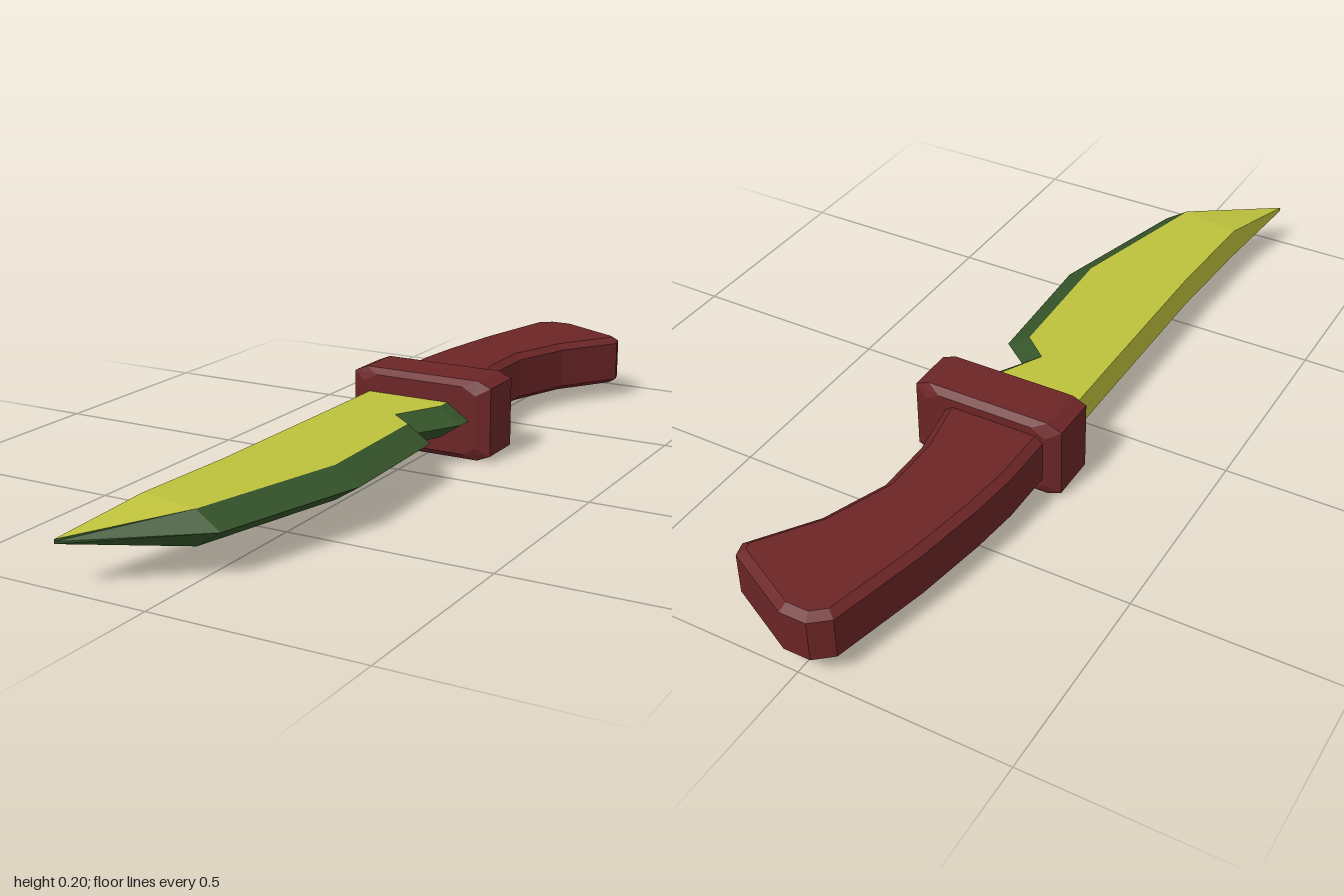
import * as THREE from 'three';

const red = new THREE.MeshStandardMaterial({ color: 0x6b2526 });
red.name = 'dark red grip';
const yellow = new THREE.MeshStandardMaterial({ color: 0xbec23b });
yellow.name = 'yellow blade';
const green = new THREE.MeshStandardMaterial({ color: 0x35552a });
green.name = 'green edge';

// Joins rings of points (clockwise seen from +z, listed by rising z); faces picks the sides to build
function loft(rings, faces, capped) {
  const pos = [];
  const tri = (...pts) => pts.forEach((p) => pos.push(...p));
  for (let i = 0; i < rings.length - 1; i++) {
    const a = rings[i], b = rings[i + 1], n = a.length;
    for (const k of faces) {
      const m = (k + 1) % n;
      tri(a[k], b[k], b[m]);
      tri(a[k], b[m], a[m]);
    }
  }
  if (capped) {
    const a = rings[0], b = rings[rings.length - 1];
    for (let k = 1; k < a.length - 1; k++) {
      tri(a[0], a[k], a[k + 1]);
      tri(b[0], b[k + 1], b[k]);
    }
  }
  const g = new THREE.BufferGeometry();
  g.setAttribute('position', new THREE.Float32BufferAttribute(pos, 3));
  g.computeVertexNormals();
  return g;
}

function addMesh(parent, name, geometry, material) {
  const mesh = new THREE.Mesh(geometry, material);
  mesh.name = name;
  parent.add(mesh);
}

export function createModel() {
  const model = new THREE.Group();
  model.name = 'knife';
  const midY = 0.103;

  // Blade stations: spine x, z; flat border x, z; cutting edge x; half thickness
  const stations = [
    [-0.16, -0.2, 0.06, -0.2, 0.12, 0.04],
    [-0.16, -0.1, 0.06, -0.1, 0.12, 0.04],
    [-0.16, 0.015, 0, 0.015, 0.055, 0.04],
    [-0.16, 0.07, 0.065, 0.07, 0.125, 0.04],
    [-0.162, 0.5, 0.077, 0.42, 0.14, 0.04],
    [-0.175, 0.77, -0.02, 0.8, 0.04, 0.04],
    [-0.217, 1, -0.217, 1, -0.217, 0.005],
  ];
  const rings = stations.map(([sx, sz, ix, iz, ox, h]) => [
    [sx, midY + h, sz], [ix, midY + h, iz], [ox, midY, iz],
    [ix, midY - h, iz], [sx, midY - h, sz],
  ]);
  const blade = new THREE.Group();
  blade.name = 'blade';
  addMesh(blade, 'bladeFlatsAndSpine', loft(rings, [0, 3, 4]), yellow);
  addMesh(blade, 'cuttingEdge', loft(rings, [1, 2]), green);
  model.add(blade);

  // Guard: chamfered block from four octagonal rings
  const octagon = (x0, x1, y0, y1, cx, cy, z) => [
    [x0, y1 - cy, z], [x0 + cx, y1, z], [x1 - cx, y1, z], [x1, y1 - cy, z],
    [x1, y0 + cy, z], [x1 - cx, y0, z], [x0 + cx, y0, z], [x0, y0 + cy, z],
  ];
  const inner = (z) => octagon(-0.175, 0.137, 0.015, 0.188, 0.035, 0.02, z);
  const outer = (z) => octagon(-0.21, 0.172, 0, 0.203, 0.035, 0.015, z);
  const guardRings = [inner(-0.287), outer(-0.272), outer(-0.155), inner(-0.14)];
  addMesh(model, 'guard', loft(guardRings, [0, 1, 2, 3, 4, 5, 6, 7], true), red);

  // Handle: curved outline in x and z, extruded upright with bevelled rims
  const outline = [
    [-0.17, -0.22], [-0.17, -0.43], [-0.158, -0.55], [-0.13, -0.73],
    [-0.077, -0.965], [-0.035, -1], [0.03, -1], [0.205, -0.91],
    [0.215, -0.875], [0.115, -0.73], [0.058, -0.575], [0.058, -0.43], [0.098, -0.22],
  ];
  const shape = new THREE.Shape(outline.map(([x, z]) => new THREE.Vector2(x, z)));
  const depth = 0.102, bevel = 0.014;
  const handle = new THREE.ExtrudeGeometry(shape, {
    depth, bevelEnabled: true, bevelSegments: 1,
    bevelThickness: bevel, bevelSize: 0.02, bevelOffset: -0.02,
  });
  handle.rotateX(Math.PI / 2);
  handle.translate(0, midY + depth / 2, 0);
  addMesh(model, 'handle', handle, red);

  return model;
}
